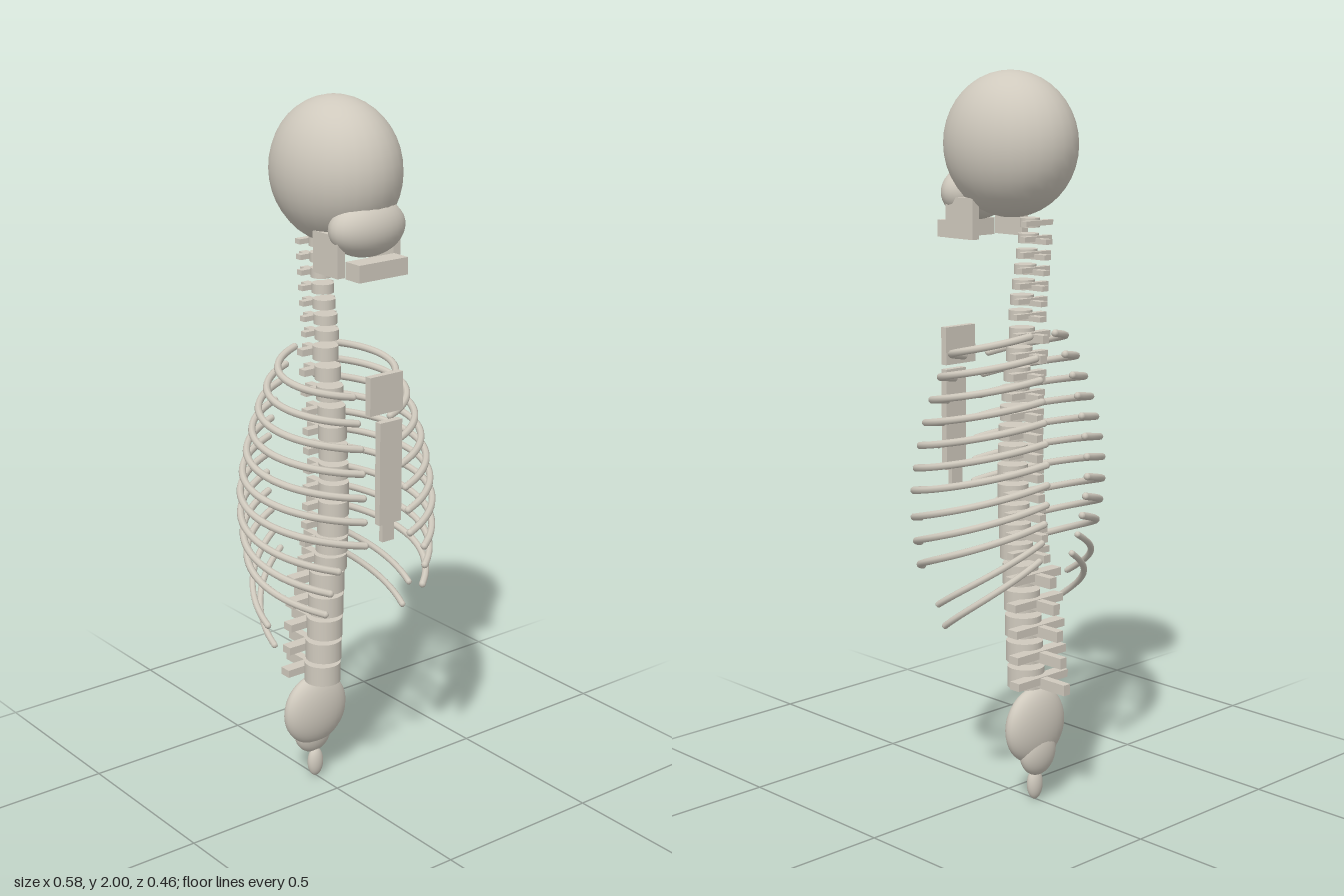
import * as THREE from 'three';

const bone = new THREE.MeshStandardMaterial({ color: 0xcfc9bd });
bone.name = 'bone';

const lerp = THREE.MathUtils.lerp;

export function createModel() {
  const model = new THREE.Group();
  model.name = 'axialSkeleton';

  const add = (parent, name, geometry, x, y, z) => {
    const mesh = new THREE.Mesh(geometry, bone);
    mesh.name = name;
    mesh.position.set(x, y, z);
    parent.add(mesh);
    return mesh;
  };
  const group = (name) => {
    const g = new THREE.Group();
    g.name = name;
    model.add(g);
    return g;
  };
  const box = (parent, name, w, h, d, x, y, z) =>
    add(parent, name, new THREE.BoxGeometry(w, h, d), x, y, z);
  const ellipsoid = (parent, name, rx, ry, rz, y, z) =>
    add(parent, name, new THREE.SphereGeometry(1, 28, 20).scale(rx, ry, rz), 0, y, z);

  // Skull and jaw
  const head = group('head');
  ellipsoid(head, 'cranium', 0.162, 0.193, 0.197, 1.807, -0.007);
  ellipsoid(head, 'face', 0.115, 0.077, 0.07, 1.677, 0.124);
  box(head, 'chin', 0.16, 0.046, 0.056, 0, 1.577, 0.166);
  for (const side of [-1, 1]) {
    box(head, 'jawSide', 0.024, 0.11, 0.104, side * 0.092, 1.612, 0.083);
  }

  // Spine: each region blends its sizes from first [0] to last [1] vertebra
  const regions = [
    { name: 'cervical', count: 7, y: [1.605, 1.357], z: (t) => lerp(-0.08, -0.045, t),
      radius: [0.027, 0.033], height: [0.025, 0.027], wing: [0.05, 0.055], wingH: 0.014, wingD: 0.02,
      spine: [0.075, 0.085], spineH: 0.014 },
    { name: 'thoracic', count: 12, y: [1.305, 0.706], z: (t) => -0.015 - 0.1 * (t - 0.6) ** 2,
      radius: [0.035, 0.046], height: [0.038, 0.044], wing: [0.06, 0.07], wingH: 0.018, wingD: 0.025,
      spine: [0.09, 0.118], spineH: 0.022 },
    { name: 'lumbar', count: 5, y: [0.643, 0.353], z: (t) => lerp(-0.047, -0.068, t),
      radius: [0.05, 0.052], height: [0.058, 0.058], wing: [0.09, 0.095], wingH: 0.022, wingD: 0.035,
      spine: [0.125, 0.158], spineH: 0.03 },
  ];
  for (const r of regions) {
    const column = group(r.name + 'Vertebrae');
    for (let i = 0; i < r.count; i++) {
      const t = i / (r.count - 1);
      const y = lerp(...r.y, t), z = r.z(t);
      const radius = lerp(...r.radius, t);
      const body = new THREE.CylinderGeometry(radius, radius, lerp(...r.height, t), 20);
      add(column, 'vertebralBody', body, 0, y, z);
      box(column, 'transverseProcess', 2 * lerp(...r.wing, t), r.wingH, r.wingD, 0, y, z - radius);
      if (r.name === 'cervical' && i === 0) continue;
      const reach = lerp(...r.spine, t), start = radius * 0.8;
      box(column, 'spinousProcess', 0.024, r.spineH, reach - start, 0, y - 0.006, z - (reach + start) / 2);
    }
  }

  // Sacrum and tailbone
  const base = group('spineBase');
  ellipsoid(base, 'sacrum', 0.107, 0.108, 0.045, 0.218, -0.104);
  ellipsoid(base, 'lowerSacrum', 0.063, 0.07, 0.034, 0.145, -0.115);
  ellipsoid(base, 'tailbone', 0.025, 0.045, 0.019, 0.045, -0.104);

  // Breastbone
  const sternum = group('breastbone');
  box(sternum, 'upperBreastbone', 0.11, 0.105, 0.02, 0, 1.25, 0.2);
  box(sternum, 'breastboneBody', 0.074, 0.285, 0.02, 0, 1.038, 0.22);
  box(sternum, 'breastboneTip', 0.04, 0.055, 0.014, 0, 0.87, 0.215);

  // Ribs: [half width, half depth, front end angle in degrees]
  const ribs = [
    [0.172, 0.133, 74], [0.202, 0.164, 74], [0.225, 0.187, 74], [0.245, 0.201, 74],
    [0.262, 0.213, 74], [0.275, 0.222, 74], [0.282, 0.229, 74], [0.281, 0.231, 58],
    [0.274, 0.227, 53], [0.265, 0.217, 50], [0.25, 0.204, 4], [0.228, 0.188, 4],
  ];
  const cage = group('ribCage');
  ribs.forEach(([rx, rz, frontAngle], i) => {
    const backY = 1.31 - i * 0.0545;
    const drop = i < 10 ? 0.08 + i * 0.0095 : 0.175 + (i - 10) * 0.01;
    for (const side of [-1, 1]) {
      const points = [];
      for (let k = 0; k <= 16; k++) {
        const a = THREE.MathUtils.degToRad(lerp(-74, frontAngle, k / 16));
        points.push(new THREE.Vector3(side * rx * Math.cos(a), backY - drop * k / 16, rz * Math.sin(a)));
      }
      const path = new THREE.CatmullRomCurve3(points);
      const radius = i < 10 ? 0.01 : 0.009;
      add(cage, side > 0 ? 'leftRib' : 'rightRib', new THREE.TubeGeometry(path, 32, radius, 8), 0, 0, 0);
      // Rounded-off rib ends
      for (const p of [points[0], points[16]]) {
        add(cage, 'ribEnd', new THREE.SphereGeometry(radius, 8, 6), p.x, p.y, p.z);
      }
    }
  });

  return model;
}
